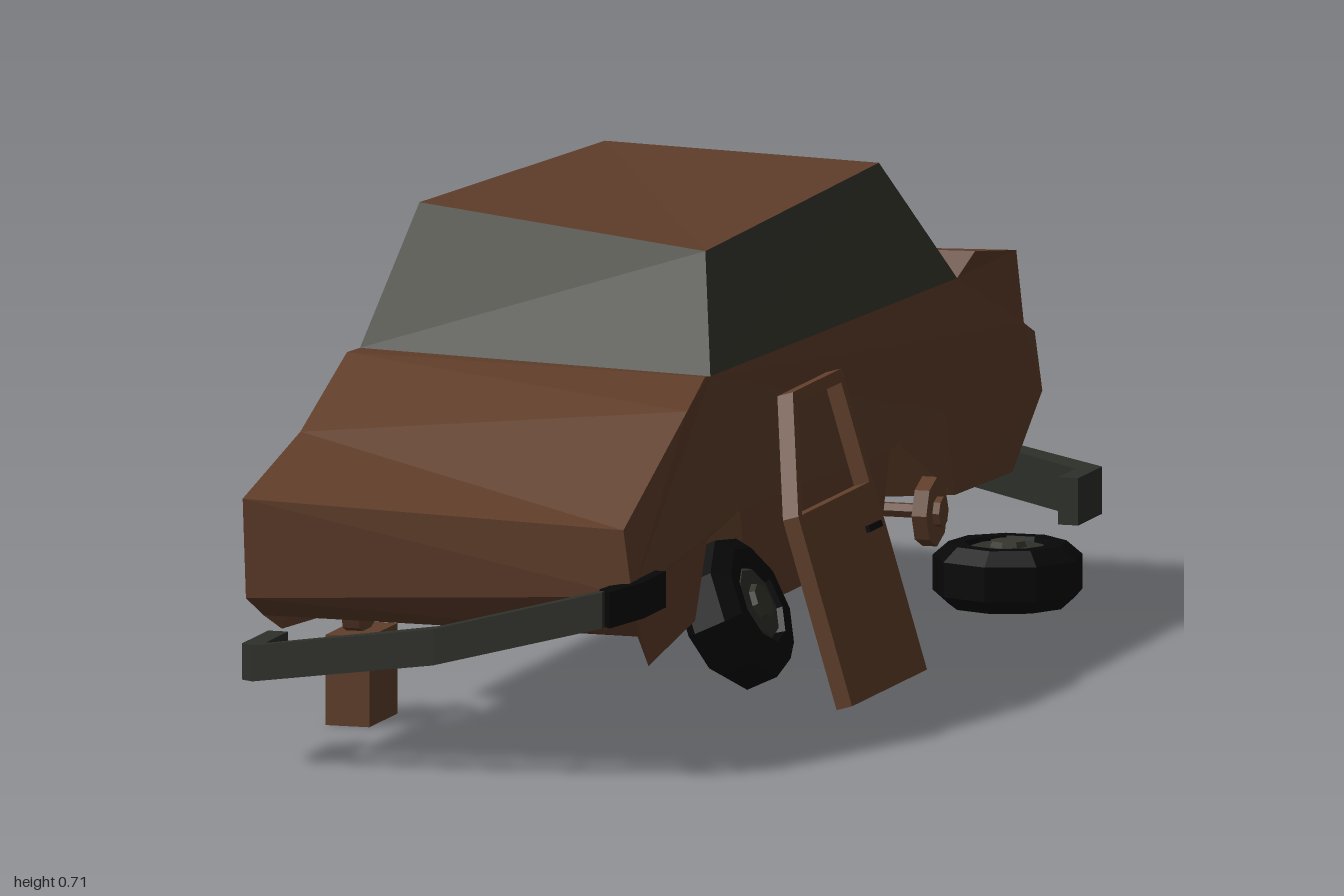
import * as THREE from 'three';

const mat = (name, color) => {
  const m = new THREE.MeshStandardMaterial({ color, flatShading: true, side: THREE.DoubleSide });
  m.name = name;
  return m;
};

export function createModel() {
  const rust = mat('rust brown', 0x603e2a);
  const glass = mat('dirty glass', 0x36362d);
  const steel = mat('dull steel', 0x2e302a);
  const rubber = mat('tyre black', 0x070707);
  const car = new THREE.Group();
  car.name = 'wreckedCar';

  const add = (name, geo, material, parent = car) => {
    const m = new THREE.Mesh(geo, material);
    m.name = name;
    parent.add(m);
    return m;
  };
  // Flat polygons (lists of corner points) as one geometry
  const faces = (polys) => {
    const pos = [];
    for (const p of polys)
      for (let i = 1; i < p.length - 1; i++) pos.push(...p[0], ...p[i], ...p[i + 1]);
    const g = new THREE.BufferGeometry();
    g.setAttribute('position', new THREE.Float32BufferAttribute(pos, 3));
    g.computeVertexNormals();
    return g;
  };

  // Body: matching outlines of the left (+x) and right (-x) flanks, open underneath
  const outline = [
    [[0.165, 0.52, 0.54], [-0.367, 0.53, 0.51]],    // windscreen base
    [[0.17, 0.525, 0.58], [-0.367, 0.533, 0.57]],   // hood rear
    [[0.192, 0.5, 0.73], [-0.37, 0.45, 0.775]],     // hood crease
    [[0.165, 0.36, 0.94], [-0.388, 0.385, 0.985]],  // nose top
    [[0.178, 0.265, 0.94], [-0.388, 0.24, 0.97]],   // nose bottom
    [[0.17, 0.2, 0.89], [-0.375, 0.21, 0.93]],      // nose lip
    [[0.17, 0.15, 0.84], [-0.37, 0.18, 0.86]],
    [[0.165, 0.18, 0.61], [-0.365, 0.17, 0.66]],    // front arch
    [[0.17, 0.29, 0.57], [-0.38, 0.29, 0.62]],
    [[0.17, 0.31, 0.42], [-0.38, 0.3, 0.44]],
    [[0.165, 0.155, 0.36], [-0.365, 0.165, 0.38]],
    [[0.165, 0.155, -0.24], [-0.365, 0.165, -0.26]], // rear arch
    [[0.17, 0.29, -0.27], [-0.38, 0.29, -0.3]],
    [[0.17, 0.31, -0.52], [-0.38, 0.3, -0.52]],
    [[0.17, 0.18, -0.57], [-0.37, 0.18, -0.57]],
    [[0.165, 0.17, -0.85], [-0.37, 0.17, -0.83]],   // rear flank corner
    [[0.182, 0.275, -0.935], [-0.37, 0.28, -0.89]], // tail panel bottom
    [[0.182, 0.365, -0.9], [-0.37, 0.41, -0.905]],
    [[0.182, 0.385, -0.85], [-0.37, 0.425, -0.84]],
    [[0.182, 0.495, -0.815], [-0.37, 0.49, -0.75]], // trunk edge
    [[0.187, 0.525, -0.61], [-0.375, 0.525, -0.54]],
    [[0.17, 0.49, -0.58], [-0.385, 0.515, -0.51]],  // rear window base
  ];
  const panels = [];
  for (const i of [0, 1, 2, 3, 4, 16, 17, 18, 19, 20])
    panels.push([outline[i][1], outline[i + 1][1], outline[i + 1][0], outline[i][0]]);
  [0, 1].forEach((side) => {
    const pts = outline.map((o) => o[side]);
    const flat = pts.map((p) => new THREE.Vector2(p[2], p[1]));
    for (const t of THREE.ShapeUtils.triangulateShape(flat, [])) {
      const [a, b, c] = t.map((k) => flat[k]);
      const turn = (b.x - a.x) * (c.y - a.y) - (b.y - a.y) * (c.x - a.x);
      const tri = t.map((k) => pts[k]);
      panels.push((turn < 0) === (side === 0) ? tri : tri.reverse());
    }
  });
  add('bodyShell', faces(panels), rust);

  // Wheel housings: arch edges drawn inwards and narrowed
  const housings = [];
  for (const first of [7, 11])
    [0, 1].forEach((side) => {
      const rim = outline.slice(first, first + 4).map((o) => o[side]);
      const mid = (rim[0][2] + rim[3][2]) / 2;
      const inner = rim.map(([x, y, z]) =>
        [x + (side ? 0.11 : -0.11), y, mid + (z - mid) * 0.66]);
      for (let k = 0; k < 3; k++) {
        const quad = [rim[k], rim[k + 1], inner[k + 1], inner[k]];
        housings.push(side ? quad : quad.reverse());
      }
    });
  add('wheelHousings', faces(housings), rust);

  // Cabin: crooked glasshouse and roof
  const base = [outline[0][0], outline[21][0], outline[21][1], outline[0][1]];
  const roof = [[0.13, 0.685, 0.455], [0.115, 0.682, -0.39], [-0.3, 0.69, -0.41], [-0.335, 0.714, 0.335]];
  add('windows', faces(base.map((p, i) => {
    const j = (i + 1) % 4;
    return [p, base[j], roof[j], roof[i]];
  })), glass);
  add('roof', faces([roof]), rust);

  // Bent bumpers: a rectangular bar swept along a path
  const bar = (path, thick, high) => {
    const rings = path.map((p, i) => {
      const dir = (k) => {
        const a = path[k], b = path[k + 1];
        return new THREE.Vector2(b[0] - a[0], b[2] - a[2]).normalize();
      };
      const d0 = dir(Math.max(i - 1, 0)), d1 = dir(Math.min(i, path.length - 2));
      const d = d0.clone().add(d1).normalize();
      const w = thick / 2 / d.dot(d0);
      return [[1, 1], [1, -1], [-1, -1], [-1, 1]].map(([s, u]) =>
        [p[0] + s * w * d.y, p[1] + u * high / 2, p[2] - s * w * d.x]);
    });
    const polys = [rings[0], [...rings[rings.length - 1]].reverse()];
    for (let i = 0; i < rings.length - 1; i++)
      for (let k = 0; k < 4; k++) {
        const n = (k + 1) % 4;
        polys.push([rings[i][k], rings[i + 1][k], rings[i + 1][n], rings[i][n]]);
      }
    return faces(polys);
  };
  add('frontBumper', bar([[-0.382, 0.147, 0.84], [-0.382, 0.147, 0.955], [-0.365, 0.15, 0.975],
    [-0.1, 0.188, 0.985], [0.145, 0.25, 0.965]], 0.03, 0.052), steel);
  add('frontBumperCorner', bar([[0.145, 0.25, 0.965], [0.178, 0.26, 0.93],
    [0.178, 0.26, 0.83]], 0.03, 0.052), rubber);
  add('rearBumper', bar([[-0.345, 0.25, -0.905], [-0.345, 0.25, -0.985], [0.235, 0.125, -0.985],
    [0.235, 0.125, -0.89]], 0.03, 0.068), steel);

  // Wheels: outer face points along the given axis
  const tyre = new THREE.LatheGeometry([[0, -0.035], [0.06, -0.045], [0.085, -0.045], [0.108, -0.025],
    [0.108, 0.025], [0.085, 0.045], [0.062, 0.045], [0.058, 0.03], [0, 0.03]]
    .map(([r, y]) => new THREE.Vector2(r, y)), 9);
  const rim = new THREE.CylinderGeometry(0.052, 0.06, 0.012, 9);
  const cap = new THREE.CylinderGeometry(0.025, 0.03, 0.012, 8);
  const up = new THREE.Vector3(0, 1, 0);
  const wheel = (name, pos, axis) => {
    const g = new THREE.Group();
    g.name = name;
    add('tyre', tyre, rubber, g);
    add('rim', rim, steel, g).position.y = 0.034;
    add('hubCap', cap, glass, g).position.y = 0.042;
    g.position.set(...pos);
    g.quaternion.setFromUnitVectors(up, new THREE.Vector3(...axis).normalize());
    car.add(g);
  };
  wheel('frontLeftWheel', [0.188, 0.175, 0.495], [0.9, 0.42, 0.05]);
  wheel('rearRightWheel', [-0.32, 0.178, -0.42], [-1, 0.06, 0]);
  wheel('fallenWheel', [0.295, 0.095, -0.428], [0, 1, 0]);

  // Axles and the two bare hubs
  const rod = (name, from, to, r, sides) => {
    const a = new THREE.Vector3(...from), b = new THREE.Vector3(...to);
    const m = add(name, new THREE.CylinderGeometry(r, r, a.distanceTo(b), sides), rust);
    m.position.copy(a).add(b).multiplyScalar(0.5);
    m.quaternion.setFromUnitVectors(up, b.sub(a).normalize());
  };
  rod('frontAxle', [-0.36, 0.17, 0.53], [0.17, 0.17, 0.5], 0.011, 6);
  rod('rearAxle', [-0.3, 0.18, -0.42], [0.19, 0.18, -0.42], 0.011, 6);
  rod('frontHub', [-0.375, 0.17, 0.53], [-0.35, 0.17, 0.53], 0.048, 8);
  rod('frontHubBoss', [-0.385, 0.17, 0.53], [-0.375, 0.17, 0.53], 0.02, 8);
  rod('rearHub', [0.17, 0.18, -0.42], [0.192, 0.18, -0.42], 0.05, 8);
  rod('rearHubBoss', [0.192, 0.18, -0.42], [0.202, 0.18, -0.42], 0.022, 8);

  // Block propping up the bare front hub
  add('propBlock', new THREE.BoxGeometry(0.065, 0.13, 0.13), rust).position.set(-0.358, 0.065, 0.53);

  // Detached door leaning on the flank, with an empty window frame
  const door = new THREE.Group();
  door.name = 'looseDoor';
  const v = (list) => list.map(([x, y]) => new THREE.Vector2(x, y));
  const panel = new THREE.Shape(v([[-0.53, 0], [-0.185, 0], [-0.185, 0.445], [-0.41, 0.445], [-0.53, 0.28]]));
  panel.holes.push(new THREE.Path(v([[-0.512, 0.28], [-0.402, 0.427], [-0.203, 0.427], [-0.203, 0.28]])));
  add('doorPanel', new THREE.ExtrudeGeometry(panel, { depth: 0.024, bevelEnabled: false })
    .rotateY(Math.PI / 2), rust, door);
  add('doorHandle', new THREE.BoxGeometry(0.008, 0.009, 0.058), rubber, door).position.set(0.026, 0.22, 0.243);
  door.position.set(0.35, 0.048, 0);
  door.rotation.z = 0.29;
  car.add(door);

  return car;
}
